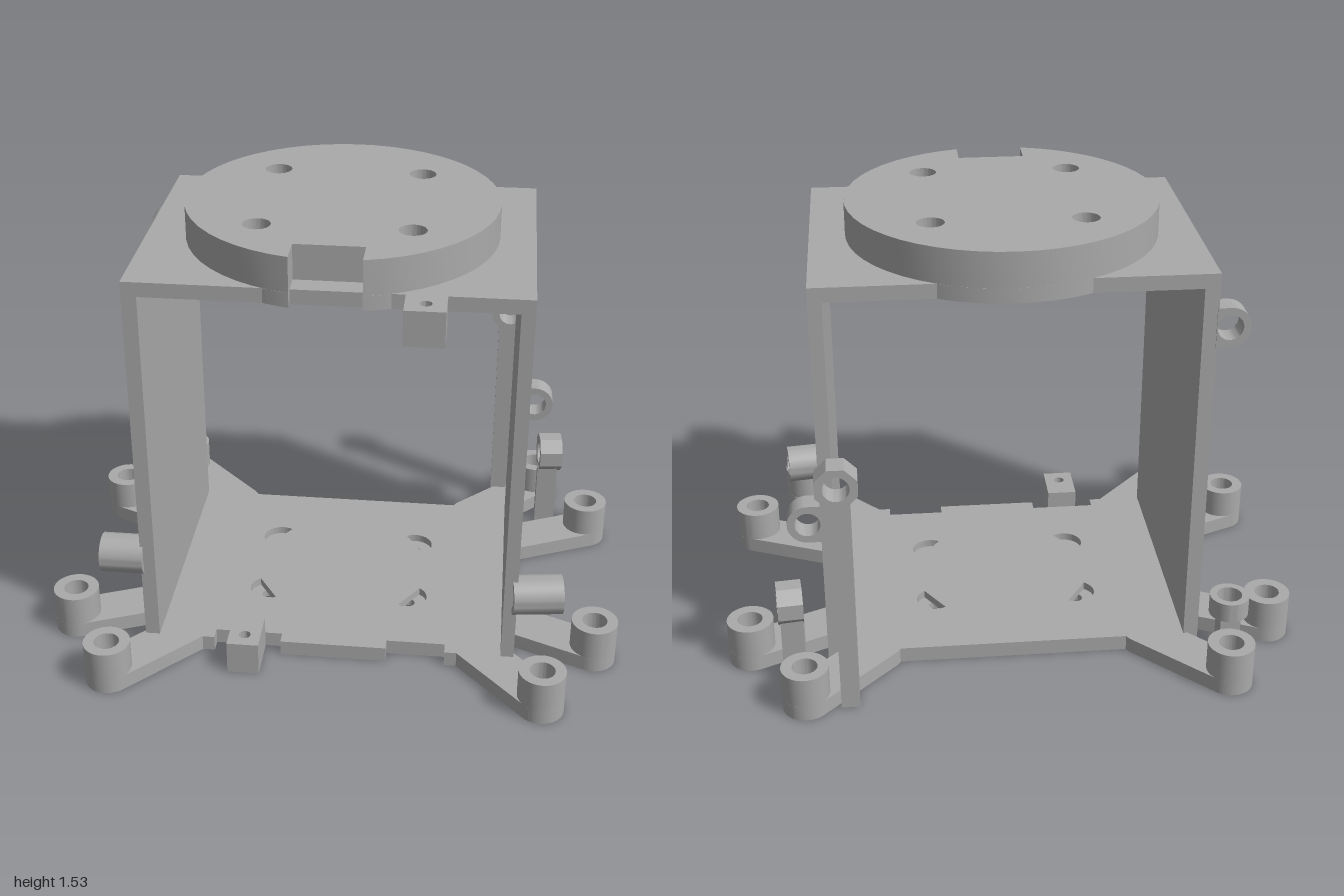
import * as THREE from 'three';
import { toCreasedNormals } from 'three/addons/utils/BufferGeometryUtils.js';

const HOLE = 0.043, RING = 0.068;

export function createModel() {
  const group = new THREE.Group();
  const grey = new THREE.MeshStandardMaterial({ color: 0xaaaaaa });
  grey.name = 'plain grey';

  const add = (name, geo, x = 0, y = 0, z = 0) => {
    const mesh = new THREE.Mesh(geo, grey);
    mesh.name = name;
    mesh.position.set(x, y, z);
    group.add(mesh);
    return mesh;
  };
  const box = (name, x0, x1, y0, y1, z0, z1) =>
    add(name, new THREE.BoxGeometry(x1 - x0, y1 - y0, z1 - z0),
      (x0 + x1) / 2, (y0 + y1) / 2, (z0 + z1) / 2);
  const extrude = (shape, depth) => toCreasedNormals(
    new THREE.ExtrudeGeometry(shape, { depth, bevelEnabled: false, curveSegments: 24 }), 0.6);
  // horizontal plate from a shape drawn in x and z
  const plate = (name, shape, y0, y1) =>
    add(name, extrude(shape, y1 - y0).rotateX(Math.PI / 2), 0, y1, 0);
  const polygon = pts => new THREE.Shape(pts.map(p => new THREE.Vector2(...p)));
  const hole = (shape, x, z, r, end = Math.PI * 2, start = 0) => {
    const p = new THREE.Path();
    p.absarc(x, z, r, start, end, false);
    p.closePath();
    shape.holes.push(p);
  };
  // ring centred at the origin along z, round or with a set number of sides
  const ringGeometry = (depth, sides = 0) => {
    const s = new THREE.Shape();
    if (sides) {
      const r = RING / Math.cos(Math.PI / sides);
      for (let i = 0; i < sides; i++) {
        const a = (i + 0.5) * Math.PI * 2 / sides;
        s[i ? 'lineTo' : 'moveTo'](r * Math.cos(a), r * Math.sin(a));
      }
      s.closePath();
    } else s.absarc(0, 0, RING, 0, Math.PI * 2, false);
    hole(s, 0, 0, HOLE);
    return extrude(s, depth).translate(0, 0, -depth / 2);
  };

  // floor in two layers: small holes below, half round recesses above
  const floorOutline = () => polygon([
    [-0.65, -0.465], [0.645, -0.465], [0.645, 0.485], [0.405, 0.485], [0.405, 0.44],
    [0.2, 0.44], [0.2, 0.485], [-0.17, 0.485], [-0.17, 0.44], [-0.405, 0.44],
    [-0.405, 0.485], [-0.65, 0.485]]);
  const lower = floorOutline(), upper = floorOutline();
  for (const x of [-0.26, 0.26]) for (const z of [-0.17, 0.17]) {
    hole(lower, x, z, 0.022);
    const turn = Math.atan2(z, x) - Math.PI / 2;
    hole(upper, x, z, 0.065, turn + Math.PI, turn);
  }
  plate('floorBottom', lower, 0, 0.027);
  plate('floorTop', upper, 0.027, 0.055);

  // side walls
  box('leftWall', 0.6, 0.645, 0, 1.415, -0.465, 0.485);
  box('rightWall', -0.65, -0.6, 0, 1.415, -0.465, 0.485);

  // roof with wide screw recesses, and the round turntable above it
  const roof = polygon([[-0.6, -0.465], [0.6, -0.465], [0.6, 0.485], [-0.6, 0.485]]);
  const R = 0.525, notch = 0.115, a = Math.acos(notch / R);
  const disc = new THREE.Shape();
  disc.absarc(0, 0, R, Math.PI - a, Math.PI * 2 + a, false);
  disc.lineTo(notch, 0.41);
  disc.lineTo(-notch, 0.41);
  disc.closePath();
  for (const x of [-0.25, 0.25]) for (const z of [-0.245, 0.26]) {
    hole(roof, x, z, 0.07);
    hole(disc, x, z, 0.046);
  }
  plate('roof', roof, 1.365, 1.415);
  plate('turntable', disc, 1.415, 1.535);

  // lower rim of the turntable where it overhangs the roof
  const t = Math.asin(0.465 / R), f = Math.asin(0.485 / R);
  const backRim = new THREE.Shape();
  backRim.absarc(0, 0, R, t - Math.PI, -t, false);
  backRim.closePath();
  plate('backRim', backRim, 1.365, 1.415);
  for (const s of [1, -1]) {
    const rim = new THREE.Shape();
    if (s > 0) rim.absarc(0, 0, R, f, a, false);
    else rim.absarc(0, 0, R, Math.PI - a, Math.PI - f, false);
    rim.lineTo(s * notch, 0.485);
    rim.closePath();
    plate('frontRim', rim, 1.365, 1.415);
  }

  // mounting arms, each ending in a hollow boss: x, z, inward direction
  const arms = [[0.717, -0.68, -0.707, 0.707], [0.91, -0.39, -0.91, 0.41],
    [0.92, 0.385, -0.92, -0.385], [0.738, 0.68, -0.68, -0.73]];
  for (const s of [1, -1]) for (const [x, z, dx, dz] of arms) {
    const ang = Math.atan2(dz, s * dx), L = 0.35;
    const arm = new THREE.Shape();
    arm.absarc(s * x, z, 0.08, ang + Math.PI / 2, ang + Math.PI * 1.5, false);
    arm.absarc(s * x + s * dx * L, z + dz * L, 0.08, ang - Math.PI / 2, ang + Math.PI / 2, false);
    arm.closePath();
    plate('arm', arm, 0, 0.055);
    const boss = new THREE.Shape();
    boss.absarc(s * x, z, 0.08, 0, Math.PI * 2, false);
    hole(boss, s * x, z, HOLE);
    plate('boss', boss, 0.05, 0.16);
  }

  // front screw tabs, one low and one under the roof edge
  for (const [x0, x1, z0, y0, y1] of [[-0.34, -0.23, 0.44, 0, 0.12], [0.245, 0.375, 0.485, 1.295, 1.415]]) {
    const tab = polygon([[x0, z0], [x1, z0], [x1, 0.6], [x0, 0.6]]);
    hole(tab, (x0 + x1) / 2, 0.543, 0.02);
    plate('screwTab', tab, y0, y1);
  }

  // cable eyes on the side walls, rounded outside and square at the wall
  for (const [s, x, y] of [[-1, 0.69, 1.23], [1, 0.688, 0.575]]) {
    const eye = new THREE.Shape();
    eye.absarc(0, 0, RING, -Math.PI / 2, Math.PI / 2, false);
    eye.lineTo(-0.045, RING);
    eye.lineTo(-0.045, -RING);
    eye.closePath();
    hole(eye, 0, 0, HOLE);
    const geo = extrude(eye, 0.077).translate(0, 0, -0.0385);
    if (s < 0) geo.rotateY(Math.PI);
    add('cableEye', geo, s * x, y, -0.431);
  }

  // sideways tubes near the front edges
  add('rightTube', ringGeometry(0.15).rotateY(Math.PI / 2), -0.715, 0.365, 0.445);
  add('leftTube', ringGeometry(0.17).rotateY(Math.PI / 2 + 0.13), 0.71, 0.305, 0.455);

  // tall post with a ring head
  box('tallPost', 0.54, 0.602, 0, 0.785, -0.703, -0.625);
  add('tallPostHead', ringGeometry(0.08, 8), 0.582, 0.838, -0.665);

  // short post with a sideways ring head
  box('shortPost', 0.72, 0.795, 0, 0.25, -0.55, -0.47);
  add('shortPostHead', ringGeometry(0.085, 8).rotateY(Math.PI / 2 + 0.1), 0.763, 0.303, -0.51);

  // low post with an upright ring head
  box('lowPost', -0.78, -0.71, 0, 0.17, -0.545, -0.47);
  add('lowPostHead', ringGeometry(0.07).rotateX(Math.PI / 2), -0.745, 0.2, -0.505);

  return group;
}
